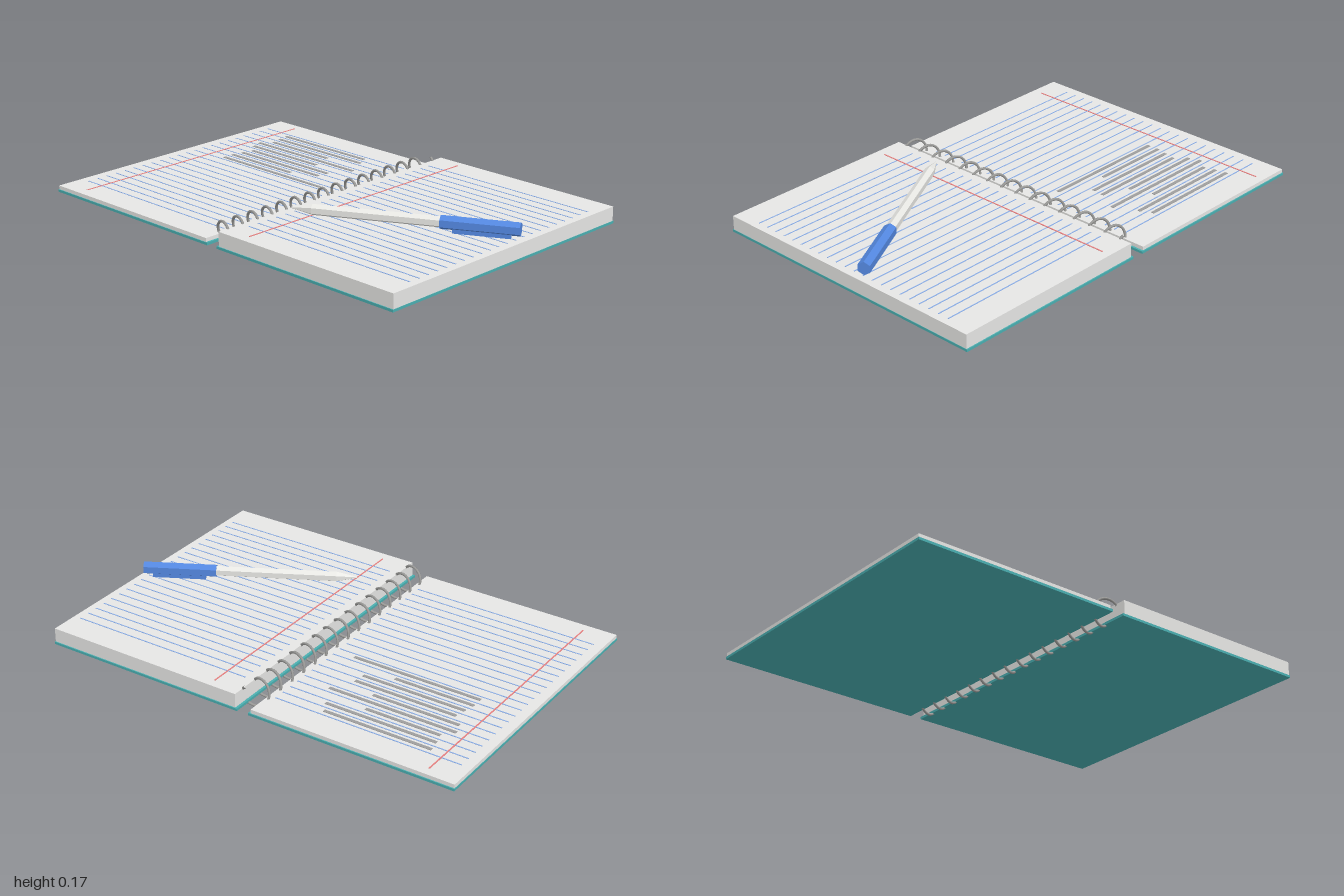
import * as THREE from 'three';

const material = (name, color, flatShading = false) => {
  const m = new THREE.MeshStandardMaterial({ color, flatShading });
  m.name = name;
  return m;
};

export function createModel() {
  const group = new THREE.Group();
  const paper = material('paper', 0xe6e6e4);
  const teal = material('coverTeal', 0x4aaeb0);
  const wire = material('wireGrey', 0x9c9c9a);
  const ruleBlue = material('ruleBlue', 0x8aaeea);
  const marginRed = material('marginRed', 0xea8080);
  const ink = material('inkGrey', 0x9e9e9e);
  const penGrey = material('penGrey', 0xe9e9e5, true);
  const penBlue = material('penBlue', 0x5488e0, true);

  // Box given by its limits on each axis
  const box = (name, mat, x0, x1, y0, y1, z0, z1, parent = group) => {
    const mesh = new THREE.Mesh(new THREE.BoxGeometry(x1 - x0, y1 - y0, z1 - z0), mat);
    mesh.position.set((x0 + x1) / 2, (y0 + y1) / 2, (z0 + z1) / 2);
    mesh.name = name;
    parent.add(mesh);
    return mesh;
  };

  // Covers and page stacks
  const leftTop = 0.048, rightTop = 0.095;
  box('leftCover', teal, -1, -0.028, 0.02, 0.031, -0.688, 0.687);
  box('rightCover', teal, 0.028, 1, 0.02, 0.031, -0.688, 0.687);
  box('leftPages', paper, -0.998, -0.038, 0.031, leftTop, -0.683, 0.683);
  box('rightPages', paper, 0.039, 0.998, 0.031, rightTop, -0.683, 0.683);

  // Ruled lines and margins, as thin strips on the paper
  const ruling = (name, x0, x1, marginX, y) => {
    const lines = new THREE.Group();
    lines.name = name;
    for (let i = 0; i < 22; i++) {
      const z = -0.553 + i * 0.0527;
      box('ruledLine', ruleBlue, x0, x1, y, y + 0.0012, z - 0.0027, z + 0.0027, lines);
    }
    box('marginLine', marginRed, marginX - 0.003, marginX + 0.003, y, y + 0.0018, -0.643, 0.637, lines);
    group.add(lines);
  };
  ruling('leftRuling', -0.953, -0.07, -0.86, leftTop);
  ruling('rightRuling', 0.08, 0.965, 0.171, rightTop);

  // Handwriting strokes on the left page
  const writing = new THREE.Group();
  writing.name = 'writing';
  [[-0.80, -0.29], [-0.79, -0.263], [-0.776, -0.423], [-0.818, -0.21], [-0.80, -0.39],
    [-0.754, -0.268], [-0.765, -0.273], [-0.776, -0.397], [-0.776, -0.16]].forEach(([x0, x1], i) => {
    const z = -0.525 + i * 0.0528;
    box('writtenLine', ink, x0, x1, leftTop, leftTop + 0.002, z - 0.008, z + 0.008, writing);
  });
  group.add(writing);

  // Spiral binding: a helix along z, ending just short of the top of its last turn
  const points = [];
  for (let i = 0; i <= 182; i++) {
    const a = (i / 12) * Math.PI * 2;
    points.push(new THREE.Vector3(0.053 * Math.cos(a), 0.06 + 0.053 * Math.sin(a), 0.642 - (i / 12) * 0.0838));
  }
  const helix = new THREE.CatmullRomCurve3(points);
  const spiral = new THREE.Mesh(new THREE.TubeGeometry(helix, 364, 0.006, 6), wire);
  spiral.name = 'spiralBinding';
  group.add(spiral);

  // Six-sided pen lying across the right page, built along +x from its tip
  const pen = new THREE.Group();
  pen.name = 'pen';
  pen.position.set(0.128, 0.139, 0.355);
  pen.rotation.y = Math.atan2(0.452, 0.848);
  const hexBar = (name, mat, x0, x1, r0, r1) => {
    const geo = new THREE.CylinderGeometry(r1, r0, x1 - x0, 6, 1, false, Math.PI / 2);
    geo.rotateZ(-Math.PI / 2);
    const mesh = new THREE.Mesh(geo, mat);
    mesh.position.x = (x0 + x1) / 2;
    mesh.name = name;
    pen.add(mesh);
  };
  hexBar('penTip', penGrey, 0, 0.09, 0.003, 0.024);
  hexBar('penBarrel', penGrey, 0.09, 0.64, 0.024, 0.024);
  hexBar('penCap', penBlue, 0.63, 0.959, 0.03, 0.03);
  box('penClip', penBlue, 0.68, 0.92, -0.042, -0.02, -0.01, 0.01, pen);
  group.add(pen);

  return group;
}
